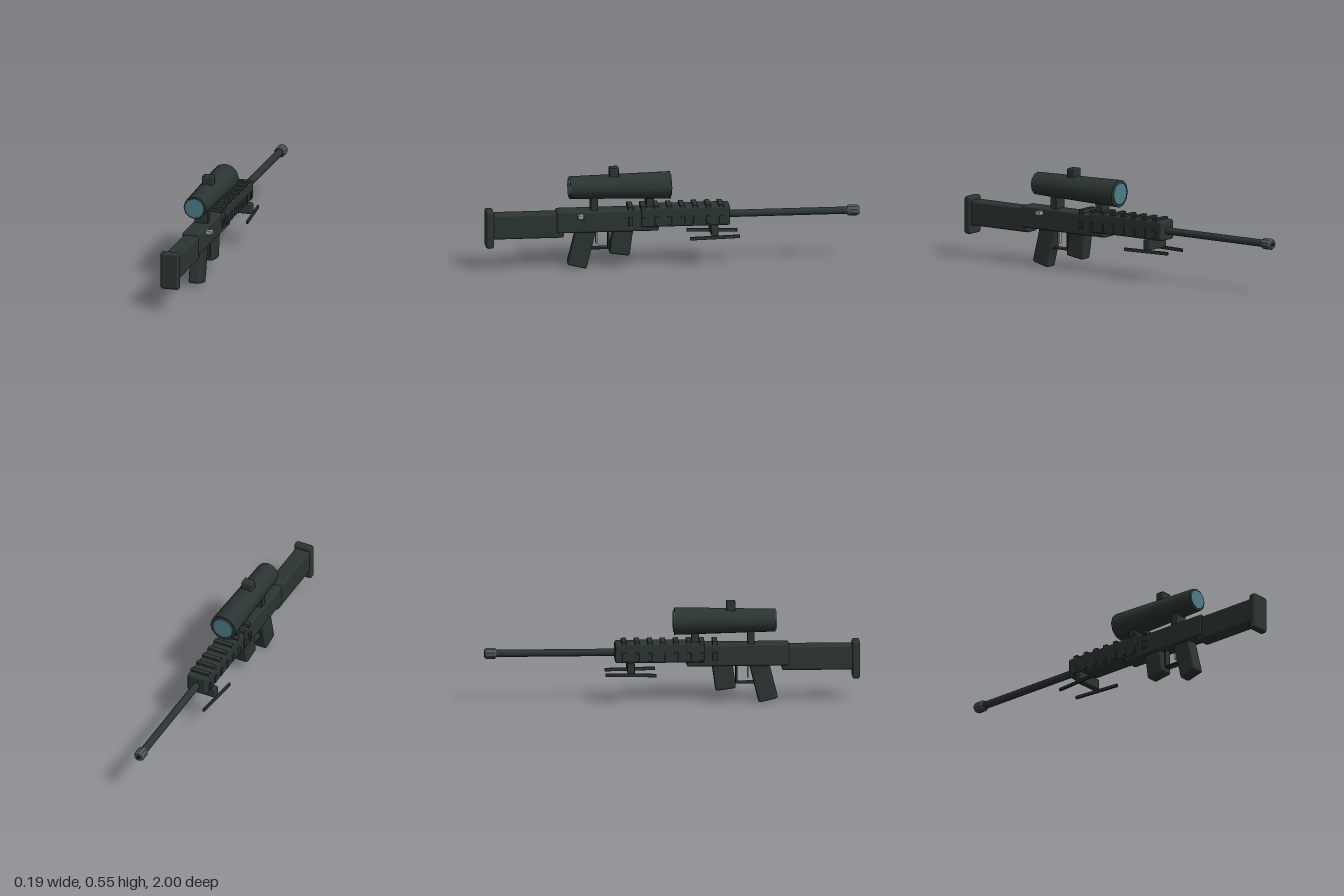
import * as THREE from 'three';
import { RoundedBoxGeometry } from 'three/addons/geometries/RoundedBoxGeometry.js';

export function createModel() {
  const root = new THREE.Group();
  root.name = 'scopedRifle';
  const mat = (name, color) => {
    const m = new THREE.MeshStandardMaterial({ color });
    m.name = name;
    return m;
  };
  const body = mat('darkGreenGrey', 0x2c3533);
  const steel = mat('lightSteel', 0x9a9d9d);
  const gunmetal = mat('gunmetal', 0x4c5558);
  const glass = mat('blueGlass', 0x4f7c88);
  const black = mat('boreBlack', 0x151818);

  const add = (name, geometry, material, x, y, z) => {
    const mesh = new THREE.Mesh(geometry, material);
    mesh.name = name;
    mesh.position.set(x, y, z);
    root.add(mesh);
    return mesh;
  };
  // Rounded block given by its extents: half width, bottom/top, front/back
  const block = (name, hw, y0, y1, z0, z1, r = 0.012, material = body, x = 0) =>
    add(name, new RoundedBoxGeometry(hw * 2, y1 - y0, z1 - z0, 2, r),
      material, x, (y0 + y1) / 2, (z0 + z1) / 2);
  // Cylinder along z: r0 at the -z end, r1 at the +z end
  const tube = (name, r0, r1, z0, z1, y, sides, material) => {
    const g = new THREE.CylinderGeometry(r1, r0, z1 - z0, sides);
    g.rotateX(Math.PI / 2);
    return add(name, g, material, 0, y, (z0 + z1) / 2);
  };

  // Stock, receiver and handguard
  block('buttPlate', 0.052, 0.136, 0.34, 0.957, 1.0, 0.014);
  block('stock', 0.043, 0.184, 0.318, 0.583, 0.97);
  block('receiver', 0.049, 0.21, 0.33, 0.075, 0.622);
  block('handguard', 0.056, 0.233, 0.34, -0.305, 0.172);

  // Top rail ribs with a raised panel on each side below them
  for (let i = 0; i < 8; i++) {
    const z = 0.227 - i * 0.069;
    block('railRib', 0.055, 0.325, 0.35, z - 0.014, z + 0.014, 0.003);
    for (const s of [-1, 1]) {
      block('sidePanel', 0.008, 0.245, 0.29, z - 0.012, z + 0.012, 0.003, body, s * 0.053);
    }
  }

  // Grip and magazine, both leaning toward the muzzle at the top
  block('grip', 0.034, 0.015, 0.255, 0.431, 0.537).rotation.x = -0.24;
  block('magazine', 0.036, 0.079, 0.249, 0.219, 0.329).rotation.x = -0.14;

  // Trigger and guard
  block('guardBottom', 0.02, 0.11, 0.12, 0.337, 0.47, 0.003);
  block('guardFront', 0.02, 0.11, 0.22, 0.337, 0.347, 0.003);
  block('trigger', 0.01, 0.14, 0.215, 0.4, 0.411, 0.003, steel);

  // Bolt handle on the left side
  block('boltHandle', 0.018, 0.292, 0.315, 0.48, 0.512, 0.004, steel, 0.062);

  // Barrel and chamfered muzzle
  tube('barrel', 0.02, 0.02, -0.96, -0.29, 0.283, 12, body);
  const profile = [[0, 0], [0.023, 0], [0.03, 0.01], [0.03, 0.055], [0.025, 0.063], [0, 0.063]]
    .map(([r, h]) => new THREE.Vector2(r, h));
  let muzzleShape = new THREE.LatheGeometry(profile, 10).rotateX(Math.PI / 2).toNonIndexed();
  muzzleShape.computeVertexNormals();
  add('muzzle', muzzleShape, gunmetal, 0, 0.283, -0.998);
  tube('bore', 0.012, 0.012, -1.0, -0.992, 0.283, 10, black);

  // Scope: tapered tube, lenses, adjustment knob and two mounts
  tube('scopeTube', 0.075, 0.062, 0.012, 0.55, 0.45, 12, body);
  tube('rearLens', 0.052, 0.052, 0.547, 0.556, 0.45, 16, glass);
  tube('frontLens', 0.058, 0.058, 0.006, 0.015, 0.45, 16, glass);
  block('scopeKnob', 0.03, 0.49, 0.557, 0.288, 0.338, 0.006);
  block('rearMount', 0.038, 0.315, 0.41, 0.4, 0.439, 0.004);
  block('frontMount', 0.038, 0.315, 0.41, 0.102, 0.144, 0.004);

  // Folded bipod, legs splayed toward the stock
  block('bipodBlock', 0.077, 0.18, 0.236, -0.24, -0.2, 0.006);
  for (const s of [-1, 1]) {
    block('bipodLeg', 0.006, 0.165, 0.183, -0.356, -0.085, 0.003, body, s * 0.078)
      .rotation.y = s * 0.09;
  }

  return root;
}
